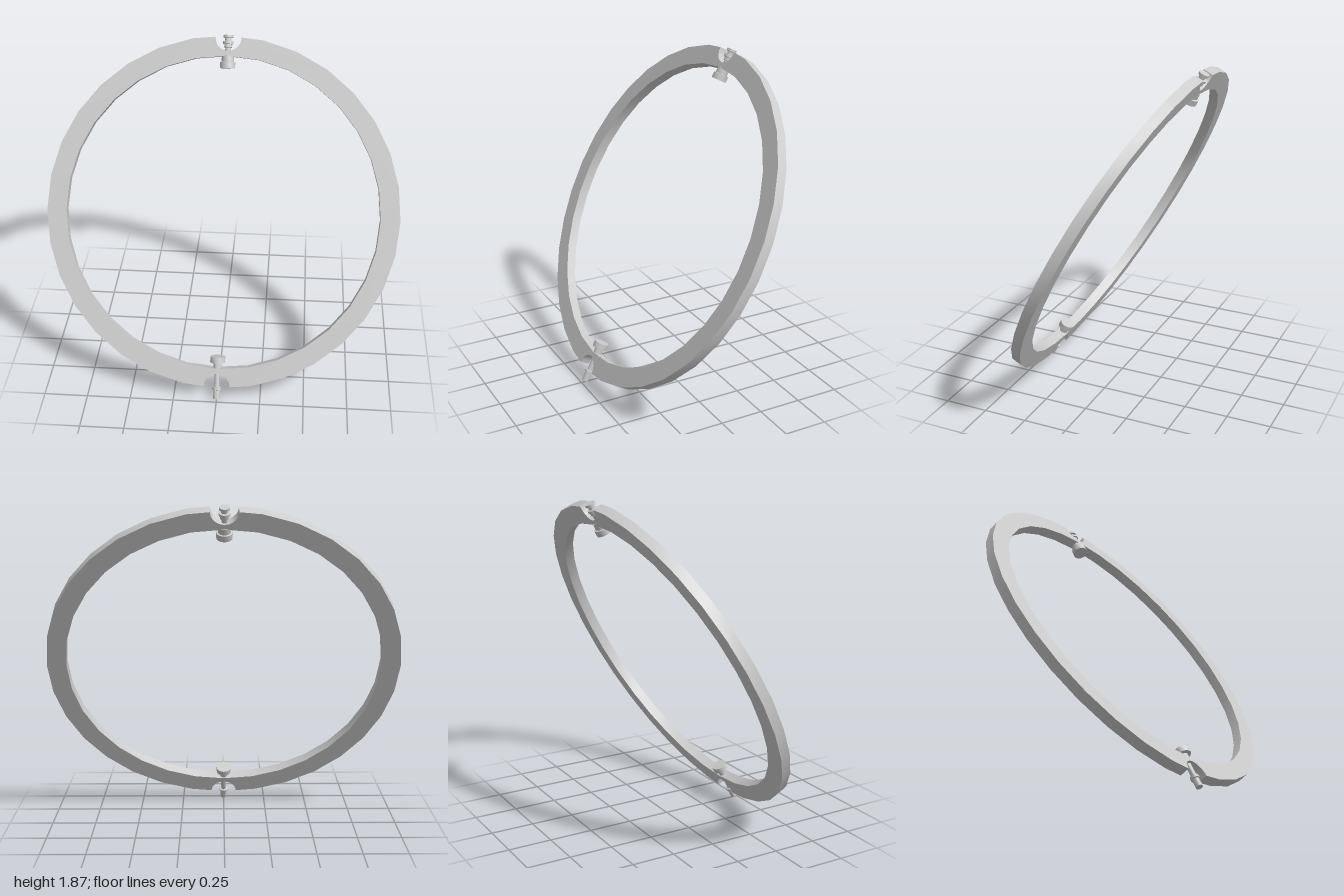
import * as THREE from 'three';
import { toCreasedNormals } from 'three/addons/utils/BufferGeometryUtils.js';

const SIDES = 32, OUTER = 1, INNER = 0.89, DEPTH = 0.058;
const TILT = -27.1 * Math.PI / 180;
const NOTCH_CENTRE = 0.993, NOTCH_RADIUS = 0.075;

const grey = new THREE.MeshStandardMaterial({ color: 0xcccccc });

// Flat hoop with a round notch cut into the rim at top and bottom
function makeRing() {
  const points = [];
  for (let i = 0; i < SIDES; i++) {
    const a = i / SIDES * Math.PI * 2;
    if (i === SIDES / 4 || i === SIDES * 3 / 4) {
      const s = i === SIDES / 4 ? 1 : -1;
      for (let j = 0; j <= 10; j++) {
        const b = j / 10 * Math.PI;
        points.push(new THREE.Vector2(
          s * NOTCH_RADIUS * Math.cos(b),
          s * (NOTCH_CENTRE - NOTCH_RADIUS * Math.sin(b))));
      }
    } else {
      points.push(new THREE.Vector2(OUTER * Math.cos(a), OUTER * Math.sin(a)));
    }
  }
  const shape = new THREE.Shape(points);
  const hole = [];
  for (let i = 0; i < SIDES; i++) {
    const a = -i / SIDES * Math.PI * 2;
    hole.push(new THREE.Vector2(INNER * Math.cos(a), INNER * Math.sin(a)));
  }
  shape.holes.push(new THREE.Path(hole));
  const geometry = new THREE.ExtrudeGeometry(shape, { depth: DEPTH, bevelEnabled: false });
  geometry.translate(0, 0, -DEPTH / 2);
  const ring = new THREE.Mesh(toCreasedNormals(geometry, 0.5), grey);
  ring.name = 'ring';
  return ring;
}

// Turned pin running radially through the ring; profile is [radius, distance from centre]
function makePin(name, profile) {
  const points = profile.map(([r, y]) => new THREE.Vector2(r, y));
  const geometry = new THREE.LatheGeometry(points, 16);
  const pin = new THREE.Mesh(toCreasedNormals(geometry, 0.5), grey);
  pin.name = name;
  return pin;
}

export function createModel() {
  const model = new THREE.Group();
  model.name = 'tiltedRing';

  const tilted = new THREE.Group();
  tilted.name = 'ringAssembly';
  tilted.position.set(0, 0.963, -0.01);
  tilted.rotation.x = TILT;
  model.add(tilted);

  tilted.add(makeRing());

  // Upper pin: inner knob, collar, then a flanged stud sitting in the notch
  tilted.add(makePin('upperPin', [
    [0, 0.822], [0.043, 0.822], [0.043, 0.856], [0.034, 0.858], [0.034, 0.893],
    [0.016, 0.895], [0.016, 0.935], [0.022, 0.937], [0.022, 0.955],
    [0.03, 0.957], [0.03, 0.972], [0.018, 0.974], [0.018, 0.99],
    [0.028, 0.992], [0.028, 1.006], [0, 1.006],
  ]));

  // Lower pin: inner knob, collar, slim shaft and a thicker tip beyond the rim
  const lower = makePin('lowerPin', [
    [0, 0.822], [0.043, 0.822], [0.043, 0.856], [0.023, 0.858], [0.023, 0.9],
    [0.015, 0.902], [0.015, 1.0], [0.025, 1.002], [0.025, 1.018],
    [0.019, 1.02], [0.019, 1.07], [0, 1.07],
  ]);
  lower.rotation.z = Math.PI;
  tilted.add(lower);

  return model;
}
